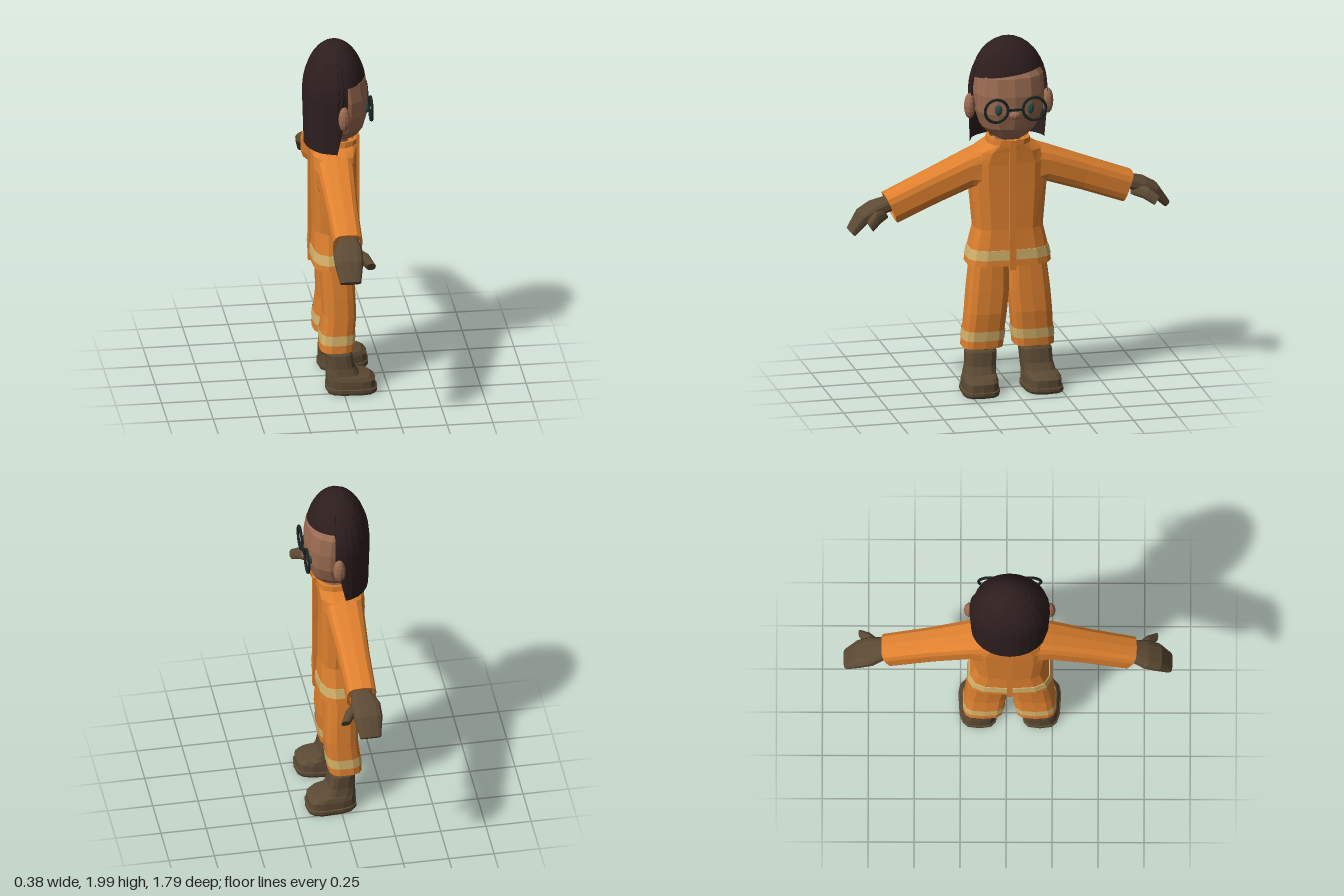
import * as THREE from 'three';

const mat = (color) => new THREE.MeshStandardMaterial({ color, flatShading: true, side: THREE.DoubleSide });
const M = {
  orange: mat(0xdf812f), stripe: mat(0xd6b46c), hair: mat(0x2e1e1e), skin: mat(0x9c6c52),
  leather: mat(0x5c4a34), frame: mat(0x1a2422), eye: mat(0x2c4f48),
};
const V = (x, y, z) => new THREE.Vector3(x, y, z);
const N = 14;
const pw = (v, p) => Math.sign(v) * Math.abs(v) ** p;

function mesh(parent, name, geo, material, x = 0, y = 0, z = 0) {
  const m = new THREE.Mesh(geo, material);
  m.name = name;
  m.position.set(x, y, z);
  parent.add(m);
  return m;
}

// horizontal rounded-box ring between x0..x1 and z0..z1
function ringY(y, x0, x1, z0, z1, p = 0.6, grow = 0) {
  return Array.from({ length: N }, (_, i) => {
    const a = (i / N) * Math.PI * 2;
    return V((x0 + x1) / 2 + ((x1 - x0) / 2 + grow) * pw(Math.sin(a), p), y,
      (z0 + z1) / 2 + ((z1 - z0) / 2 + grow) * pw(Math.cos(a), p));
  });
}

// ring for a limb running along x, from its top and bottom points
function ringX([tx, ty, bx, by, z0, z1], p = 0.6, k = 1) {
  return Array.from({ length: N }, (_, i) => {
    const a = (i / N) * Math.PI * 2, c = k * pw(Math.cos(a), p) / 2;
    return V((tx + bx) / 2 + (tx - bx) * c, (ty + by) / 2 + (ty - by) * c,
      (z0 + z1) / 2 + k * ((z1 - z0) / 2) * pw(Math.sin(a), p));
  });
}

// skin through rings; side -1 mirrors in x
function loft(rings, side = 1, caps = true) {
  const pos = [], idx = [], n = rings[0].length;
  const tri = (a, b, c) => (side > 0 ? idx.push(a, b, c) : idx.push(a, c, b));
  rings.flat().forEach((v) => pos.push(v.x * side, v.y, v.z));
  for (let i = 0; i < rings.length - 1; i++) {
    for (let j = 0; j < n; j++) {
      const a = i * n + j, b = i * n + (j + 1) % n;
      tri(a, b, b + n);
      tri(a, b + n, a + n);
    }
  }
  if (caps) {
    const last = (rings.length - 1) * n;
    for (let j = 1; j < n - 1; j++) {
      tri(0, j + 1, j);
      tri(last, last + j, last + j + 1);
    }
  }
  const g = new THREE.BufferGeometry();
  g.setAttribute('position', new THREE.Float32BufferAttribute(pos, 3));
  g.setIndex(idx);
  g.computeVertexNormals();
  return g;
}

// one-piece hair: short fringe in front, long at the sides and back
function hairGeometry() {
  const cols = [];
  for (let d = -74; d <= 74; d += 9.25) cols.push([d, 1.82 + 0.025 * Math.sin(d * Math.PI / 180)]);
  cols.push([75, 1.68], [84, 1.55], [94, 1.41]);
  for (let d = 106; d <= 254; d += 14.8) cols.push([d, 1.41]);
  cols.push([266, 1.41], [276, 1.55], [285, 1.68]);
  const rows = [];
  for (let r = 0; r <= 12; r++) {
    const t = Math.max(r / 12, 0.001);
    rows.push(cols.map(([d, edge]) => {
      const a = d * Math.PI / 180, y = 2 - (2 - edge) * t ** 1.8;
      const f = y > 1.7 ? Math.sqrt(Math.max(0, 1 - ((y - 1.7) / 0.3) ** 2)) : 1 - 0.17 * (1.7 - y);
      return V(0.22 * f * Math.sin(a), y, -0.02 + 0.177 * f * Math.cos(a));
    }));
  }
  return loft(rows.reverse(), 1, false);
}

function buildHead(g) {
  mesh(g, 'neck', new THREE.CylinderGeometry(0.07, 0.075, 0.14, 12), M.skin, 0, 1.43, -0.02);
  const face = [[1.435, 0.06, 0.08], [1.46, 0.11, 0.105], [1.51, 0.155, 0.135], [1.6, 0.186, 0.158],
    [1.7, 0.193, 0.162], [1.8, 0.188, 0.146], [1.87, 0.15, 0.1]];
  mesh(g, 'face', loft(face.map(([y, w, z]) => ringY(y, -w, w, -0.15, z, 0.85))), M.skin);
  mesh(g, 'hair', hairGeometry(), M.hair);
  mesh(g, 'nose', new THREE.SphereGeometry(0.028, 8, 6), M.skin, 0, 1.598, 0.155).scale.set(1.1, 0.85, 0.8);
  for (const s of [-1, 1]) {
    mesh(g, 'ear', new THREE.SphereGeometry(1, 10, 8), M.skin, s * 0.218, 1.625, 0.005).scale.set(0.032, 0.072, 0.034);
    mesh(g, 'eye', new THREE.SphereGeometry(1, 10, 8), M.eye, s * 0.088, 1.632, 0.14).scale.set(0.022, 0.034, 0.018);
    mesh(g, 'glassesRim', new THREE.TorusGeometry(0.064, 0.008, 6, 24), M.frame, s * 0.106, 1.633, 0.165);
  }
  mesh(g, 'glassesBridge', new THREE.BoxGeometry(0.09, 0.012, 0.012), M.frame, 0, 1.633, 0.168);
}

function buildJacket(g) {
  const body = [[0.725, 0.235, -0.16, 0.105], [0.76, 0.23, -0.158, 0.103], [0.815, 0.218, -0.154, 0.1],
    [0.93, 0.19, -0.148, 0.092], [1.17, 0.212, -0.155, 0.09], [1.3, 0.215, -0.158, 0.09],
    [1.37, 0.18, -0.158, 0.095], [1.41, 0.115, -0.145, 0.1]];
  const ring = ([y, w, b, f], grow) => ringY(y, -w, w, b, f, 0.6, grow);
  mesh(g, 'jacketBody', loft(body.map((b) => ring(b, 0))), M.orange);
  mesh(g, 'jacketStripe', loft(body.slice(1, 3).map((b) => ring(b, 0.004))), M.stripe);
  mesh(g, 'collar', loft([ringY(1.4, -0.12, 0.12, -0.14, 0.1, 0.7), ringY(1.44, -0.115, 0.115, -0.13, 0.1, 0.7),
    ringY(1.44, -0.1, 0.1, -0.115, 0.085, 0.7), ringY(1.41, -0.1, 0.1, -0.115, 0.085, 0.7)]), M.orange);
  mesh(g, 'frontPlacket', new THREE.BoxGeometry(0.036, 0.735, 0.04), M.orange, 0, 1.073, 0.095);
  mesh(g, 'backPleat', new THREE.BoxGeometry(0.03, 0.69, 0.03), M.orange, 0, 1.055, -0.15);
}

function buildArm(g, s) {
  const arm = new THREE.Group();
  arm.name = s > 0 ? 'leftArm' : 'rightArm';
  const sleeve = [[0.09, 1.41, 0.13, 1.12, -0.145, 0.075], [0.23, 1.355, 0.205, 1.165, -0.135, 0.065],
    [0.45, 1.264, 0.4, 1.092, -0.122, 0.05], [0.695, 1.163, 0.63, 1.0, -0.117, 0.045]];
  const rings = sleeve.map((r) => ringX(r));
  const cuff = ringX(sleeve[3], 0.6, 0.84);
  rings.push(cuff, cuff.map((v) => V(v.x - 0.045, v.y + 0.018, v.z)));
  mesh(arm, 'sleeve', loft(rings, s), M.orange);
  const hand = [[0.62, 1.16, 0.59, 1.08, -0.09, 0.02], [0.69, 1.14, 0.655, 1.07, -0.095, 0.025],
    [0.765, 1.115, 0.725, 1.045, -0.125, 0.035], [0.835, 1.072, 0.79, 1.015, -0.125, 0.03],
    [0.895, 0.975, 0.865, 0.945, -0.105, 0.01]];
  mesh(arm, 'mitten', loft(hand.map((r) => ringX(r, 0.65)), s), M.leather);
  const thumb = [[0.705, 1.095, 0.68, 1.035, -0.04, 0.02], [0.765, 1.085, 0.735, 1.02, 0.0, 0.07],
    [0.815, 1.04, 0.785, 0.99, 0.05, 0.1]];
  mesh(arm, 'thumb', loft(thumb.map((r) => ringX(r, 0.75)), s), M.leather);
  // arms hang at slightly different heights, turning about the shoulder
  const turn = 0.03, px = s * 0.15, py = 1.28;
  arm.rotation.z = turn;
  arm.position.set(px - px * Math.cos(turn) + py * Math.sin(turn), py - px * Math.sin(turn) - py * Math.cos(turn), 0);
  g.add(arm);
}

function buildLeg(g, s) {
  const leg = [[0.25, 0.03, 0.256, -0.125, 0.063], [0.295, 0.027, 0.252, -0.122, 0.066], [0.35, 0.023, 0.247, -0.117, 0.07],
    [0.45, 0.012, 0.24, -0.106, 0.079], [0.57, 0, 0.23, -0.11, 0.075], [0.78, 0, 0.205, -0.12, 0.065]];
  const ring = ([y, ...r], grow = 0) => ringY(y, ...r, 0.6, grow);
  const hem = ring(leg[0], -0.018);
  const inner = hem.map((v) => V(v.x, 0.29, v.z));
  mesh(g, 'trouserLeg', loft([inner, hem, ...leg.map((r) => ring(r))], s), M.orange);
  mesh(g, 'trouserStripe', loft(leg.slice(1, 3).map((r) => ring(r, 0.004)), s, false), M.stripe);
  // boot: sole, toe, instep and shaft
  const boot = [[0.005, 0.07, 0.27, -0.088, 0.18], [0.018, 0.065, 0.275, -0.095, 0.188], [0.035, 0.065, 0.275, -0.095, 0.188],
    [0.038, 0.07, 0.268, -0.09, 0.18], [0.08, 0.072, 0.266, -0.09, 0.178], [0.1, 0.075, 0.258, -0.09, 0.15],
    [0.11, 0.075, 0.252, -0.09, 0.09], [0.15, 0.072, 0.243, -0.086, 0.066], [0.225, 0.066, 0.24, -0.09, 0.052],
    [0.238, 0.075, 0.23, -0.082, 0.044]];
  mesh(g, 'boot', loft(boot.map((r) => ring(r).map((v) => V(v.x + 0.06 * v.z, v.y, v.z))), s), M.leather);
  mesh(g, 'ankle', new THREE.CylinderGeometry(0.065, 0.065, 0.1, 10), M.leather, s * 0.15, 0.26, -0.025);
}

export function createModel() {
  const group = new THREE.Group();
  const figure = new THREE.Group();
  figure.name = 'figure';
  buildHead(figure);
  buildJacket(figure);
  for (const s of [-1, 1]) {
    buildArm(figure, s);
    buildLeg(figure, s);
  }
  // the figure looks along +x
  figure.rotation.y = Math.PI / 2;
  figure.position.z = 0.018;
  group.add(figure);
  return group;
}
